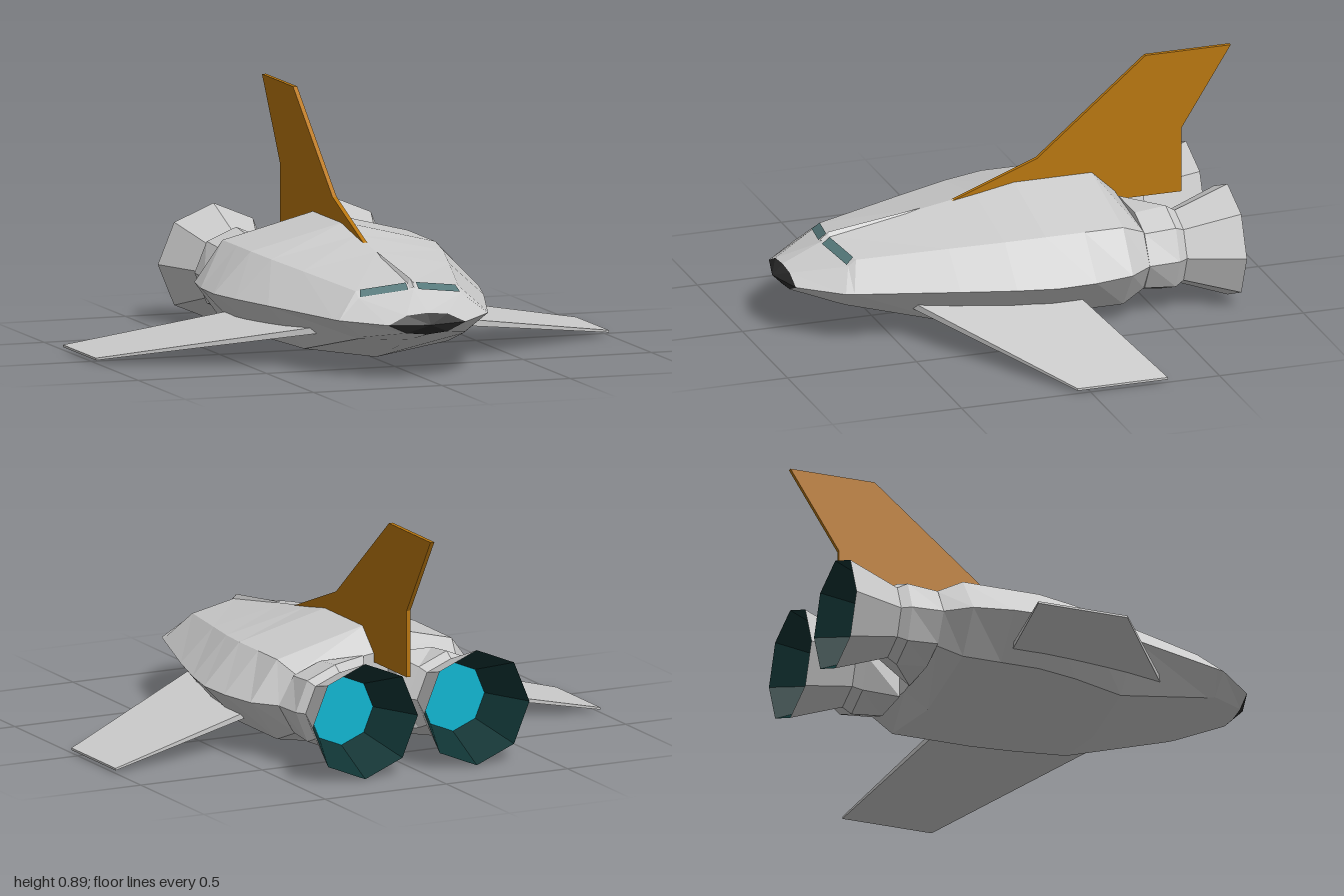
import * as THREE from 'three';

const mat = (color) => new THREE.MeshStandardMaterial({ color, flatShading: true });

// Flat-shaded mesh from corner points and polygon faces
function polyMesh(name, points, faces, material) {
  const pos = [];
  for (const f of faces)
    for (let i = 1; i < f.length - 1; i++)
      for (const k of [f[0], f[i], f[i + 1]]) pos.push(...points[k]);
  const g = new THREE.BufferGeometry();
  g.setAttribute('position', new THREE.Float32BufferAttribute(pos, 3));
  g.computeVertexNormals();
  const mesh = new THREE.Mesh(g, material);
  mesh.name = name;
  return mesh;
}

// Skin between rings that run clockwise as seen from the front, ordered front to back
function loft(name, rings, material, capFront = true, capBack = true) {
  const n = rings[0].length, faces = [];
  for (let k = 0; k < rings.length - 1; k++)
    for (let i = 0; i < n; i++) {
      const a = k * n + i, b = k * n + (i + 1) % n;
      faces.push([a, b, b + n, a + n]);
    }
  const order = [...Array(n).keys()];
  if (capFront) faces.push([...order].reverse());
  if (capBack) faces.push(order.map((i) => i + (rings.length - 1) * n));
  return polyMesh(name, rings.flat(), faces, material);
}

// Eight-point hull section: crown, shoulder, side, chine, keel, mirrored
function hullRing([z, top, sx, sy, w, mid, lx, ly, bot, sweep = 0]) {
  return [
    [0, top, z], [sx, sy, z - sweep], [w, mid, z], [lx, ly, z],
    [0, bot, z], [-lx, ly, z], [-w, mid, z], [-sx, sy, z - sweep],
  ];
}

// Octagon with a corner at the top
function octagon(cx, r, z) {
  return Array.from({ length: 8 }, (_, i) => {
    const a = i * Math.PI / 4;
    return [cx + r * Math.sin(a), 0.22 + r * Math.cos(a), z];
  });
}

export function createModel() {
  const model = new THREE.Group();
  model.name = 'spaceShuttle';
  const grey = mat(0xcccccc), black = mat(0x2a2a2a), teal = mat(0x55787a);
  const orange = mat(0xb8760f), liner = mat(0x103434), cyan = mat(0x10b4d0);

  // Hull
  const sections = [
    [0.845, 0.25, 0.08, 0.243, 0.15, 0.21, 0.08, 0.178, 0.17],
    [0.70, 0.315, 0.2, 0.288, 0.29, 0.215, 0.2, 0.15, 0.135, 0.04],
    [0.67, 0.337, 0.2, 0.31, 0.3, 0.215, 0.205, 0.14, 0.125, 0.04],
    [0.30, 0.398, 0.285, 0.342, 0.42, 0.22, 0.28, 0.055, 0.01],
    [0.10, 0.432, 0.335, 0.36, 0.475, 0.22, 0.335, 0.065, 0.01],
    [-0.05, 0.46, 0.36, 0.37, 0.505, 0.22, 0.36, 0.07, 0.01],
    [-0.20, 0.46, 0.36, 0.37, 0.50, 0.22, 0.36, 0.07, 0.01],
    [-0.35, 0.46, 0.36, 0.37, 0.47, 0.22, 0.36, 0.07, 0.01],
    [-0.44, 0.375, 0.33, 0.33, 0.40, 0.22, 0.33, 0.11, 0.07],
  ];
  const hull = sections.map(hullRing);
  model.add(loft('hull', hull, grey, false));

  // Nose cap
  const tip = hull[0].map(() => [0, 0.21, 0.885]);
  model.add(loft('noseCap', [tip, hull[0]], black, false, false));

  // Windscreen divider tapering back along the crown
  model.add(polyMesh('windscreenDivider',
    [[0, 0.325, 0.70], [0.028, 0.31, 0.68], [0, 0.352, 0.665], [-0.028, 0.31, 0.68], [0, 0.4, 0.31]],
    [[0, 1, 2], [0, 2, 3], [1, 4, 2], [2, 4, 3]], grey));

  // Windows, lying just proud of the windscreen step
  const onStep = (x, t) => {
    const f = x / 0.2;
    return [x, 0.319 - 0.027 * f + 0.022 * t, 0.703 - 0.04 * f - 0.03 * t];
  };
  for (const s of [1, -1]) {
    const pts = [[0.02, 0], [0.195, 0], [0.185, 1], [0.02, 1]].map(([x, t]) => {
      const p = onStep(x, t);
      return [s * p[0], p[1], p[2]];
    });
    model.add(polyMesh(s > 0 ? 'leftWindow' : 'rightWindow', pts,
      [s > 0 ? [0, 1, 2, 3] : [3, 2, 1, 0]], teal));
  }

  for (const s of [1, -1]) {
    const side = s > 0 ? 'left' : 'right';

    // Drooping wing: root and tip outlines joined into a thin slab
    const root = [[0.46, 0.16], [-0.14, 0.16], [-0.14, 0.135], [0.46, 0.135]];
    const end = [[0.05, 0.022], [-0.30, 0.022], [-0.30, 0.014], [0.05, 0.014]];
    const pts = [...root.map(([z, y]) => [s * 0.27, y, z]), ...end.map(([z, y]) => [s, y, z])];
    const faces = [[0, 4, 5, 1], [1, 5, 6, 2], [2, 6, 7, 3], [3, 7, 4, 0], [4, 7, 6, 5], [0, 1, 2, 3]];
    model.add(polyMesh(side + 'Wing', pts, s > 0 ? faces : faces.map((f) => [...f].reverse()), grey));

    // Engine: squared-off shoulder easing into an octagonal flared nozzle
    const engine = new THREE.Group();
    engine.name = side + 'Engine';
    const cx = s * 0.23;
    const start = octagon(cx, 0.15, -0.44).map(([x, y, z]) => {
      const d = s * (x - cx);
      if (d < -0.01) return [s * 0.05, y > 0.23 ? 0.37 : y < 0.21 ? 0.07 : 0.22, z];
      return [d > 0.14 ? s * 0.40 : d > 0.05 ? s * 0.34 : x, y, z];
    });
    engine.add(loft('engineHousing',
      [start, octagon(cx, 0.162, -0.56), octagon(cx, 0.14, -0.595)], grey, true, false));
    engine.add(loft('nozzle', [octagon(cx, 0.14, -0.595), octagon(cx, 0.217, -0.80)], grey, false, false));
    engine.add(loft('nozzleLiner', [octagon(cx, 0.217, -0.80), octagon(cx, 0.13, -0.61)], liner, false, false));
    engine.add(polyMesh('engineGlow', octagon(cx, 0.13, -0.61), [[0, 1, 2, 3, 4, 5, 6, 7]], cyan));
    model.add(engine);
  }

  // Tail fin
  const outline = [[0.23, 0.40], [-0.14, 0.54], [-0.56, 0.89], [-0.89, 0.89], [-0.70, 0.59],
    [-0.70, 0.34], [-0.42, 0.34], [-0.3, 0.40]];
  const finGeo = new THREE.ExtrudeGeometry(
    new THREE.Shape(outline.map(([z, y]) => new THREE.Vector2(z, y))),
    { depth: 0.016, bevelEnabled: false });
  finGeo.rotateY(-Math.PI / 2).translate(0.008, 0, 0);
  const fin = new THREE.Mesh(finGeo, orange);
  fin.name = 'tailFin';
  model.add(fin);

  return model;
}
